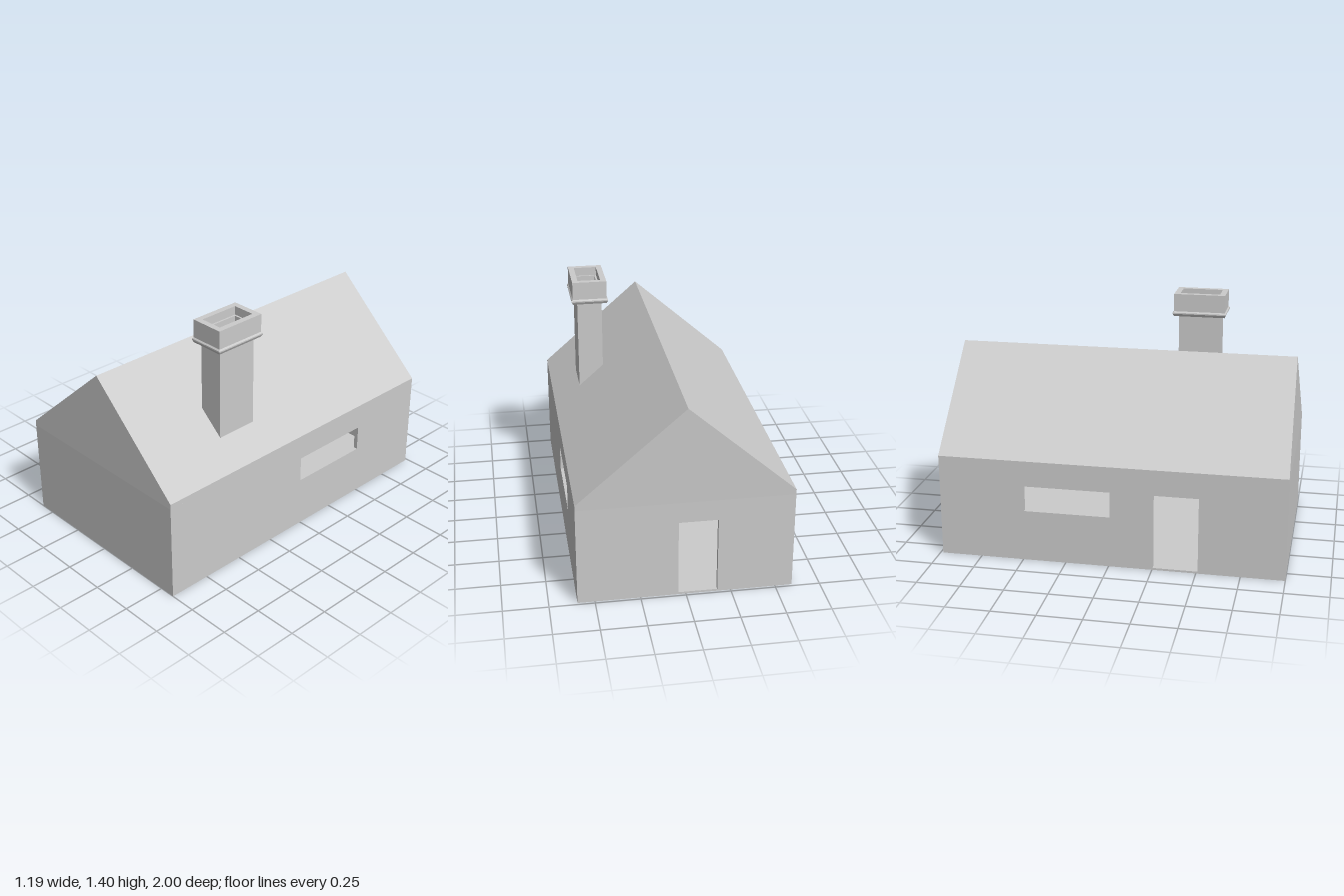
import * as THREE from 'three';

const HALF = 0.595, BACK = -0.985, FRONT = 1, EAVE = 0.6, RIDGE = 1.125;
const WALL = 0.025, ROOF = 0.03, FLOOR = 0.01;

const polygon = (pts) => new THREE.Shape(pts.map(([x, y]) => new THREE.Vector2(x, y)));
const rect = (x0, y0, x1, y1) => polygon([[x0, y0], [x1, y0], [x1, y1], [x0, y1]]);
const roofHeight = (x) => RIDGE - (Math.abs(x) / HALF) * (RIDGE - EAVE);

function extrude(shape, depth, holes = []) {
  shape.holes.push(...holes);
  return new THREE.ExtrudeGeometry(shape, { depth, bevelEnabled: false });
}

// Everything above the eaves leans slightly towards the back
function lean(geometry) {
  const p = geometry.attributes.position, base = EAVE - ROOF;
  for (let i = 0; i < p.count; i++) {
    const t = Math.max(0, (p.getY(i) - base) / (RIDGE - base));
    p.setZ(i, p.getZ(i) - 0.015 * t);
  }
  geometry.computeVertexNormals();
  return geometry;
}

// Rectangular rings [offset, y] joined into one hollow flat-faced shell
function rectLoft(cx, cz, hx, hz, sections) {
  const corners = [[1, 1], [1, -1], [-1, -1], [-1, 1]];
  const point = ([o, y], k) => {
    const [sx, sz] = corners[k % 4];
    const x = cx + sx * (hx + o);
    return [x, y ?? roofHeight(x) - 0.01, cz + sz * (hz + o)];
  };
  const pos = [];
  for (let i = 0; i < sections.length - 1; i++) {
    for (let k = 0; k < 4; k++) {
      const a = point(sections[i], k), b = point(sections[i], k + 1);
      const c = point(sections[i + 1], k + 1), d = point(sections[i + 1], k);
      pos.push(...a, ...b, ...c, ...a, ...c, ...d);
    }
  }
  const g = new THREE.BufferGeometry();
  g.setAttribute('position', new THREE.Float32BufferAttribute(pos, 3));
  g.computeVertexNormals();
  return g;
}

export function createModel() {
  const group = new THREE.Group();
  const material = new THREE.MeshStandardMaterial({
    color: 0xcccccc, flatShading: true, side: THREE.DoubleSide,
  });
  const add = (name, geometry) => {
    const mesh = new THREE.Mesh(geometry, material);
    mesh.name = name;
    group.add(mesh);
    return mesh;
  };
  const low = EAVE - ROOF, length = FRONT - BACK;

  // Floor slab between the walls
  const floor = new THREE.BoxGeometry(2 * HALF, FLOOR, length);
  add('floor', floor.translate(0, FLOOR / 2, (FRONT + BACK) / 2));

  // End walls with their gable triangles; the back one has a doorway
  for (const [name, z, holes] of [
    ['front', FRONT - WALL, []],
    ['back', BACK, [rect(-0.175, FLOOR + 0.002, 0.042, 0.45)]],
  ]) {
    add(name + 'Wall', extrude(rect(-HALF, FLOOR, HALF, low), WALL, holes).translate(0, 0, z));
    const gable = polygon([[-HALF, low], [HALF, low], [0, RIDGE - ROOF]]);
    add(name + 'Gable', lean(extrude(gable, WALL).translate(0, 0, z)));
  }

  // Side walls share a long window; the -x side also has a doorway
  const windowHole = () => rect(-0.49, 0.3, 0.008, 0.45);
  const sideDoor = rect(0.254, FLOOR + 0.002, 0.51, 0.45);
  for (const [name, x, holes] of [
    ['windowWall', HALF, [windowHole()]],
    ['doorWall', -HALF + WALL, [windowHole(), sideDoor]],
  ]) {
    const wall = extrude(rect(BACK + WALL, FLOOR, FRONT - WALL, low), WALL, holes);
    add(name, wall.rotateY(-Math.PI / 2).translate(x, 0, 0));
  }

  // Pitched roof
  const roof = polygon([
    [-HALF, low], [0, RIDGE - ROOF], [HALF, low], [HALF, EAVE], [0, RIDGE], [-HALF, EAVE],
  ]);
  add('roof', lean(extrude(roof, length).translate(0, 0, BACK)));

  // Chimney: shaft, flared collar, cap and stepped flue (no height = meets the roof)
  add('chimney', rectLoft(0.3725, 0.378, 0.0725, 0.125, [
    [0, null], [0, 1.265], [0.027, 1.265], [0.035, 1.28], [0.035, 1.287], [0.028, 1.295],
    [0.028, 1.4], [-0.006, 1.4], [-0.006, 1.35], [-0.017, 1.35], [-0.017, null],
  ]));

  return group;
}
